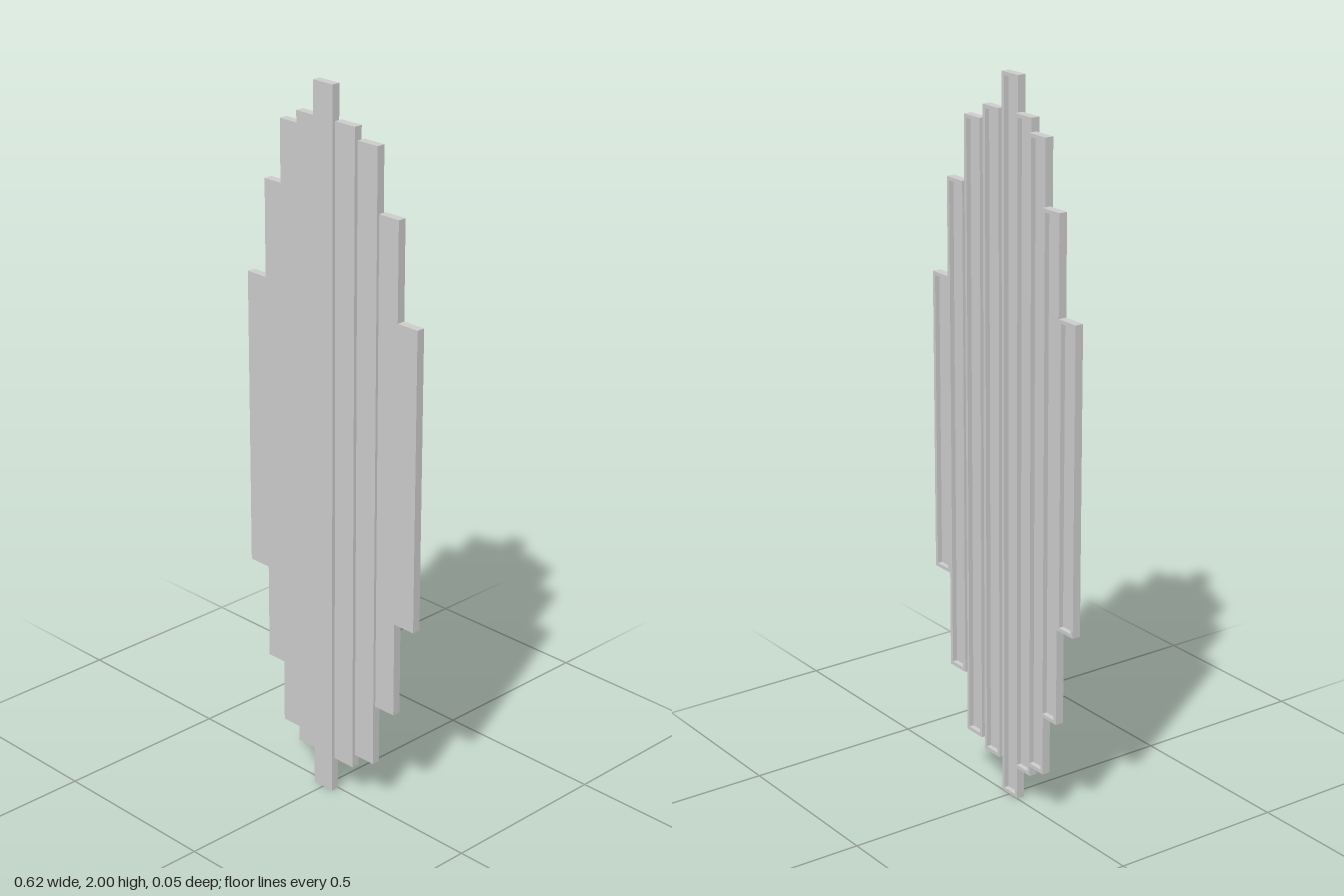
import * as THREE from 'three';

const WIDTH = 0.069, DEPTH = 0.0235, WALL = 0.01, FACE = 0.01;
const material = new THREE.MeshStandardMaterial({ color: 0xcccccc });

function rectangle(PathType, w, h) {
  return new PathType([
    new THREE.Vector2(-w / 2, -h / 2), new THREE.Vector2(w / 2, -h / 2),
    new THREE.Vector2(w / 2, h / 2), new THREE.Vector2(-w / 2, h / 2),
  ]);
}

// A slat: a flat front panel with a raised rim around its hollow back
function makeSlat(name, x, bottom, top, back) {
  const height = top - bottom;
  const slat = new THREE.Group();
  slat.name = name;

  const panel = new THREE.Mesh(new THREE.BoxGeometry(WIDTH, height, FACE), material);
  panel.name = 'frontPanel';
  panel.position.z = DEPTH - FACE / 2;

  const outline = rectangle(THREE.Shape, WIDTH, height);
  outline.holes.push(rectangle(THREE.Path, WIDTH - 2 * WALL, height - 2 * WALL));
  const rim = new THREE.Mesh(
    new THREE.ExtrudeGeometry(outline, { depth: DEPTH - FACE, bevelEnabled: false }), material);
  rim.name = 'backRim';

  slat.add(panel, rim);
  slat.position.set(x, (bottom + top) / 2, back);
  return slat;
}

export function createModel() {
  const model = new THREE.Group();
  model.name = 'slattedShield';

  // Slats from the middle outwards: x, bottom, top, back z
  const slats = [
    [0, 0, 2, 0],
    [0.0695, 0.1, 1.906, -0.009],
    [0.139, 0.136, 1.87, -0.018],
    [0.2065, 0.311, 1.695, -0.0255],
    [0.275, 0.583, 1.425, -0.0255],
  ];
  slats.forEach(([x, bottom, top, back], i) => {
    if (i === 0) {
      model.add(makeSlat('centreSlat', x, bottom, top, back));
    } else {
      model.add(makeSlat(`leftSlat${i}`, x, bottom, top, back));
      model.add(makeSlat(`rightSlat${i}`, -x, bottom, top, back));
    }
  });
  return model;
}
